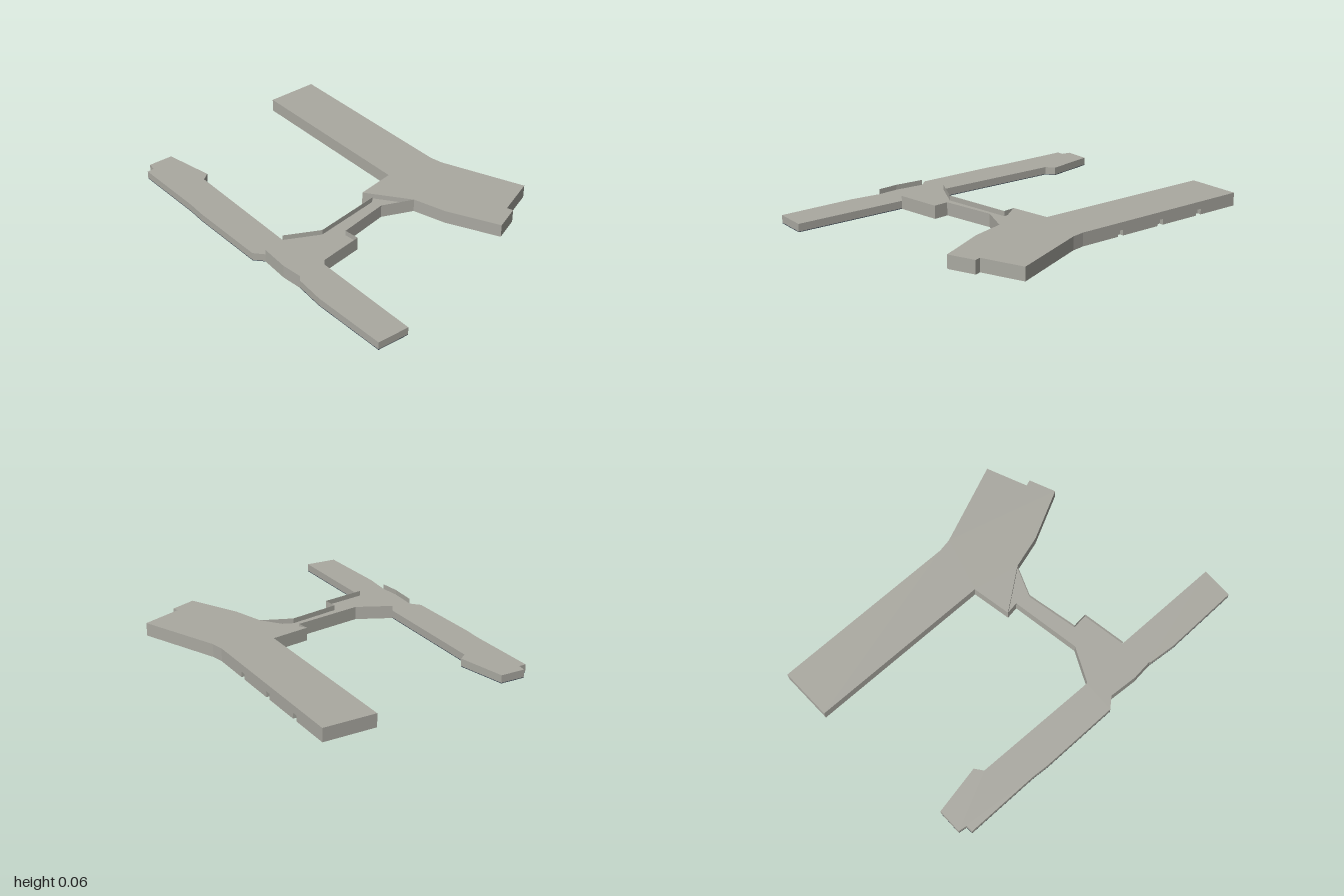
import * as THREE from 'three';

const stone = new THREE.MeshStandardMaterial({ color: 0xaaa9a1 });
stone.name = 'stone';
const parapetStone = new THREE.MeshStandardMaterial({ color: 0xaaa9a1, side: THREE.DoubleSide });
parapetStone.name = 'parapet stone';
const slate = new THREE.MeshStandardMaterial({ color: 0x364150 });
slate.name = 'dark slate';

const LOW = 0.04, HIGH = 0.065, BASE = 0.003, DOOR = 0.028;

// Upright block from a plan outline of [x, z] points
function block(name, plan, y0, y1, material) {
  const shape = new THREE.Shape(plan.map(([x, z]) => new THREE.Vector2(x, -z)));
  const geo = new THREE.ExtrudeGeometry(shape, { depth: y1 - y0, bevelEnabled: false });
  geo.rotateX(-Math.PI / 2).translate(0, y0, 0);
  const mesh = new THREE.Mesh(geo, material);
  mesh.name = name;
  return mesh;
}

// Thin wall following a plan path
function wall(name, path, y0, y1) {
  const pos = [];
  for (let i = 0; i + 1 < path.length; i++) {
    const [ax, az] = path[i], [bx, bz] = path[i + 1];
    pos.push(ax, y0, az, bx, y0, bz, bx, y1, bz, ax, y0, az, bx, y1, bz, ax, y1, az);
  }
  const geo = new THREE.BufferGeometry();
  geo.setAttribute('position', new THREE.Float32BufferAttribute(pos, 3));
  geo.computeVertexNormals();
  const mesh = new THREE.Mesh(geo, parapetStone);
  mesh.name = name;
  return mesh;
}

export function createModel() {
  const model = new THREE.Group();
  model.name = 'buildingComplex';

  // Tall main building, with door recesses in the lower part of its long back wall
  const backStart = [-0.33, -1.0], backEnd = [0.43, -0.42];
  const rest = [
    [0.49, -0.39], [0.91, -0.28], [0.855, -0.07], [0.885, -0.06], [0.85, 0.075],
    [0.58, 0.025], [0.42, -0.035], [0.17, -0.035], [0.26, -0.215], [-0.485, -0.785],
  ];
  const dx = backEnd[0] - backStart[0], dz = backEnd[1] - backStart[1];
  const len = Math.hypot(dx, dz), ux = dx / len, uz = dz / len;
  const along = (d, depth) => [backStart[0] + ux * d - uz * depth, backStart[1] + uz * d + ux * depth];
  const recesses = [];
  for (const z of [-0.855, -0.705, -0.555]) {
    const d = (z - backStart[1]) / uz, h = 0.016;
    recesses.push(along(d - h, 0), along(d - h, 0.02), along(d + h, 0.02), along(d + h, 0));
  }
  const main = new THREE.Group();
  main.name = 'mainBuilding';
  main.add(
    block('lowerStorey', [backStart, ...recesses, backEnd, ...rest], 0, DOOR, stone),
    block('upperStorey', [backStart, backEnd, ...rest], DOOR, HIGH, stone),
  );
  model.add(main);

  // Hub and link passage, with raised walls around a lower roof
  const westSide = [[0.17, -0.035], [0.225, -0.005], [0.06, 0.31], [-0.105, 0.395]];
  const frontSide = [[-0.15, 0.52], [-0.04, 0.615], [0.05, 0.67]];
  const eastSide = [[0.125, 0.53], [0.23, 0.33], [0.165, 0.29], [0.28, 0.05], [0.42, -0.035]];
  const hub = new THREE.Group();
  hub.name = 'hubAndLink';
  hub.add(
    block('hubBody', [...westSide, ...frontSide, ...eastSide], 0, LOW, stone),
    wall('westParapet', westSide, LOW, HIGH),
    wall('frontParapet', frontSide, LOW, HIGH),
    wall('eastParapet', eastSide, LOW, HIGH),
  );
  model.add(hub);

  // Two low wings, each on a dark base slab
  const wings = {
    westWing: [
      [-0.835, -0.16], [-0.61, -0.05], [-0.61, 0], [-0.105, 0.395], [-0.15, 0.52], [-0.21, 0.525],
      [-0.53, 0.285], [-0.6, 0.225], [-0.9, 0], [-0.88, -0.03], [-0.91, -0.06],
    ],
    eastWing: [[0.125, 0.53], [0.57, 0.87], [0.47, 0.995], [0.16, 0.77], [0.05, 0.67]],
  };
  for (const [name, plan] of Object.entries(wings)) {
    const wing = new THREE.Group();
    wing.name = name;
    wing.add(
      block(name + 'Base', plan, 0, BASE, slate),
      block(name + 'Body', plan, BASE, LOW, stone),
    );
    model.add(wing);
  }
  return model;
}
